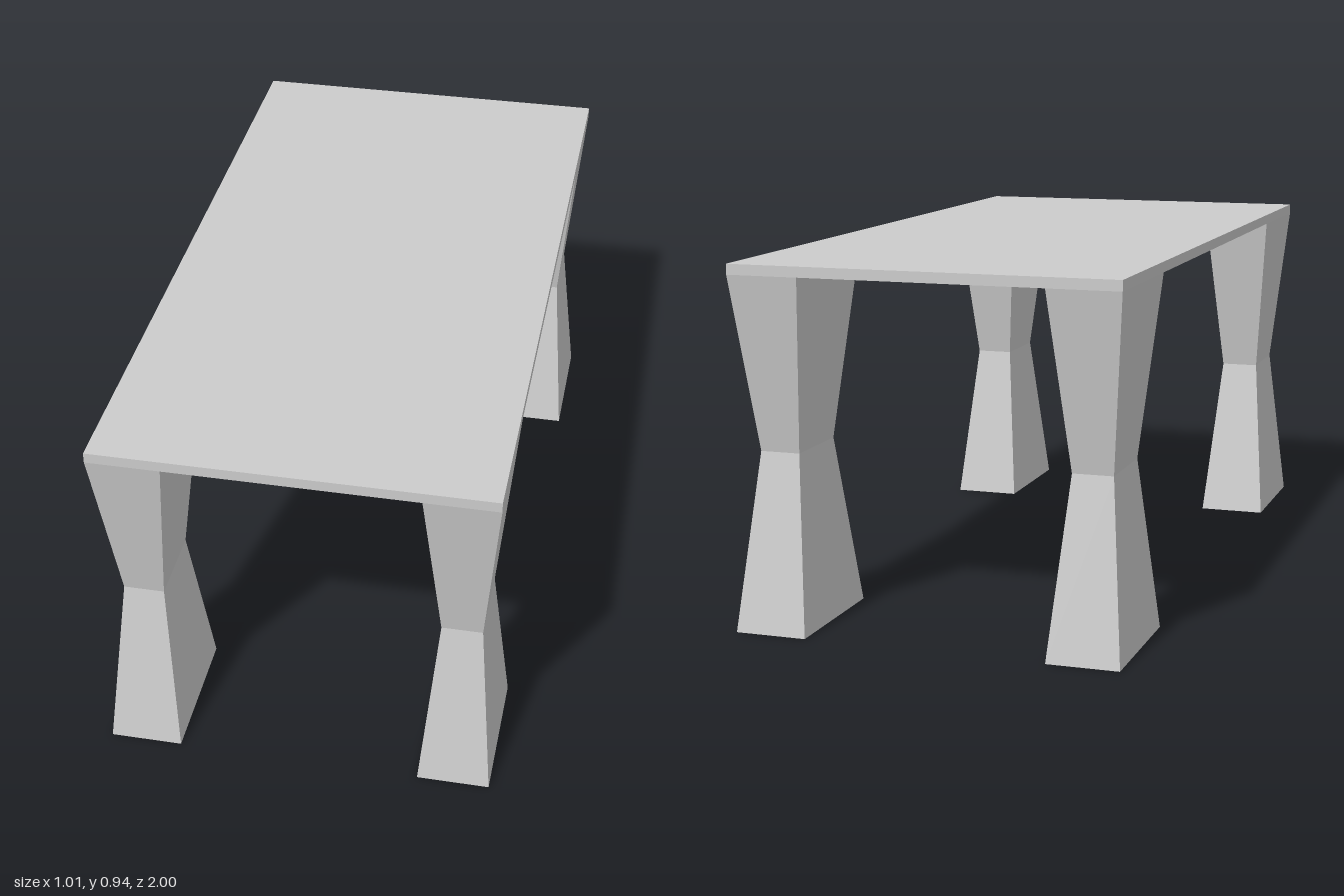
import * as THREE from 'three';

const W = 1.01, L = 2, H = 0.94, TOP = 0.027;      // overall size and slab thickness
const LEG_W = 0.188, LEG_L = 0.374, WAIST = 0.56;  // leg footprint and waist ratio

// Box leg pinched in at mid-height, standing on y = 0
function legGeometry() {
  const h = H - TOP;
  const geo = new THREE.BoxGeometry(LEG_W, h, LEG_L, 1, 2, 1);
  const p = geo.attributes.position;
  for (let i = 0; i < p.count; i++) {
    if (Math.abs(p.getY(i)) < 0.01) {
      p.setX(i, p.getX(i) * WAIST);
      p.setZ(i, p.getZ(i) * WAIST);
    }
  }
  geo.translate(0, h / 2, 0);
  geo.computeVertexNormals();
  return geo;
}

export function createModel() {
  const group = new THREE.Group();
  group.name = 'table';
  const material = new THREE.MeshStandardMaterial({ color: 0xcccccc, flatShading: true });

  // Thin slab top
  const top = new THREE.Mesh(new THREE.BoxGeometry(W, TOP, L), material);
  top.name = 'tableTop';
  top.position.y = H - TOP / 2;
  group.add(top);

  // Four legs flush with the corners
  const geo = legGeometry();
  for (const [sx, side] of [[1, 'Left'], [-1, 'Right']]) {
    for (const [sz, end] of [[1, 'front'], [-1, 'back']]) {
      const leg = new THREE.Mesh(geo, material);
      leg.name = `${end}${side}Leg`;
      leg.position.set(sx * (W - LEG_W) / 2, 0, sz * (L - LEG_L) / 2);
      group.add(leg);
    }
  }
  return group;
}
